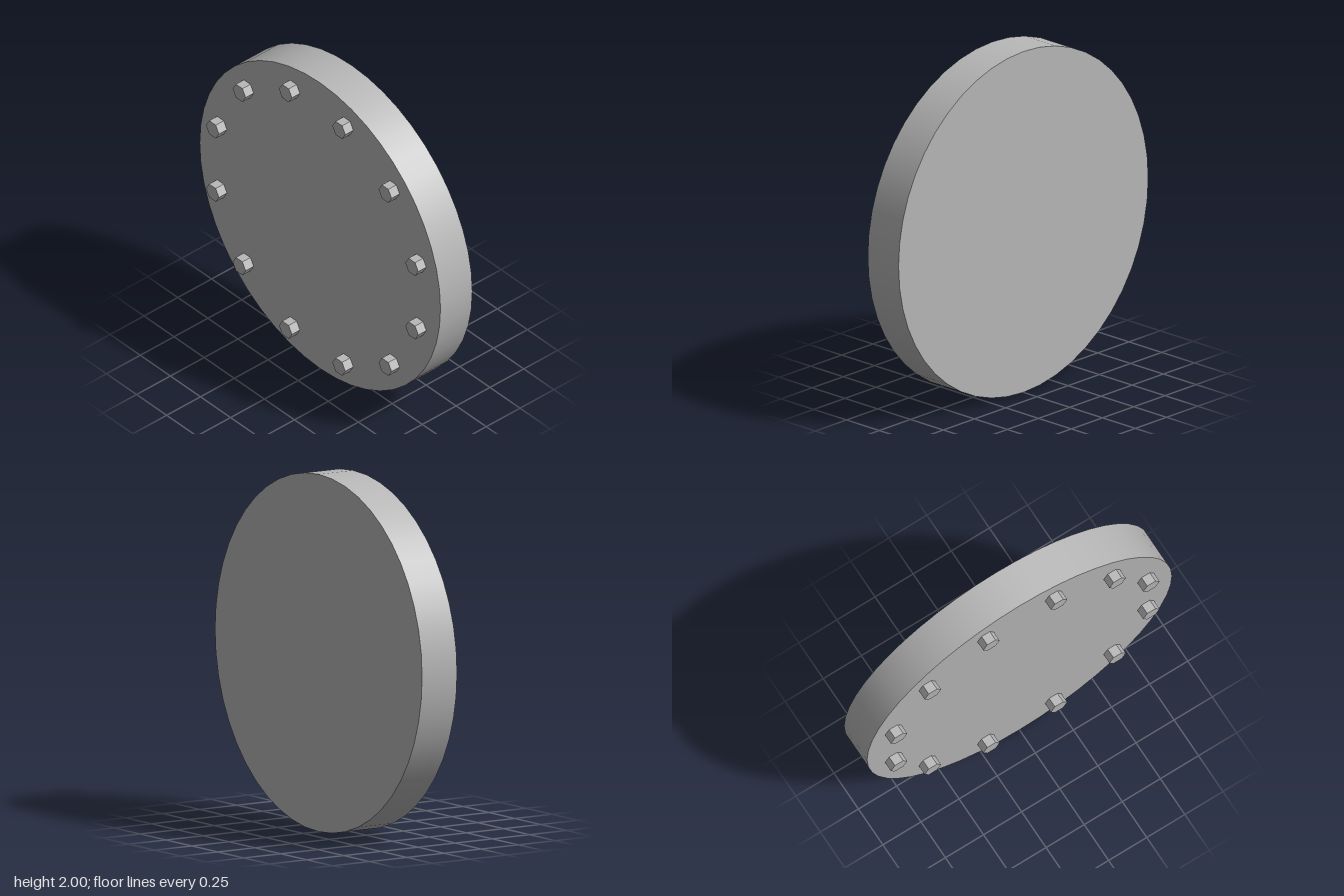
import * as THREE from 'three';

export function createModel() {
  const model = new THREE.Group();
  model.name = 'boltedCover';
  const steel = new THREE.MeshStandardMaterial({ color: 0xb8b8b8 });
  steel.name = 'grey steel';
  const boltSteel = steel.clone();
  boltSteel.flatShading = true;
  boltSteel.name = 'grey bolt steel';

  // Cylinder lying along z between two depths, first corner on +x
  const disc = (radius, back, front, sides) =>
    new THREE.CylinderGeometry(radius, radius, front - back, sides, 1, false, Math.PI / 2)
      .rotateX(Math.PI / 2)
      .translate(0, 0, (front + back) / 2);

  // Thick round cover plate
  const plate = new THREE.Mesh(disc(1, -0.147, 0.088, 48), steel);
  plate.name = 'coverPlate';
  plate.position.y = 1;
  model.add(plate);

  // Ring of twelve hexagonal bolt heads
  const headGeometry = disc(0.054, 0.088, 0.147, 6);
  const bolts = new THREE.Group();
  bolts.name = 'boltRing';
  bolts.position.y = 1;
  for (let i = 0; i < 12; i++) {
    const angle = ((i + 0.5) * Math.PI) / 6;
    const head = new THREE.Mesh(headGeometry, boltSteel);
    head.name = `boltHead${i + 1}`;
    head.position.set(0.857 * Math.cos(angle), 0.857 * Math.sin(angle), 0);
    bolts.add(head);
  }
  model.add(bolts);
  return model;
}
